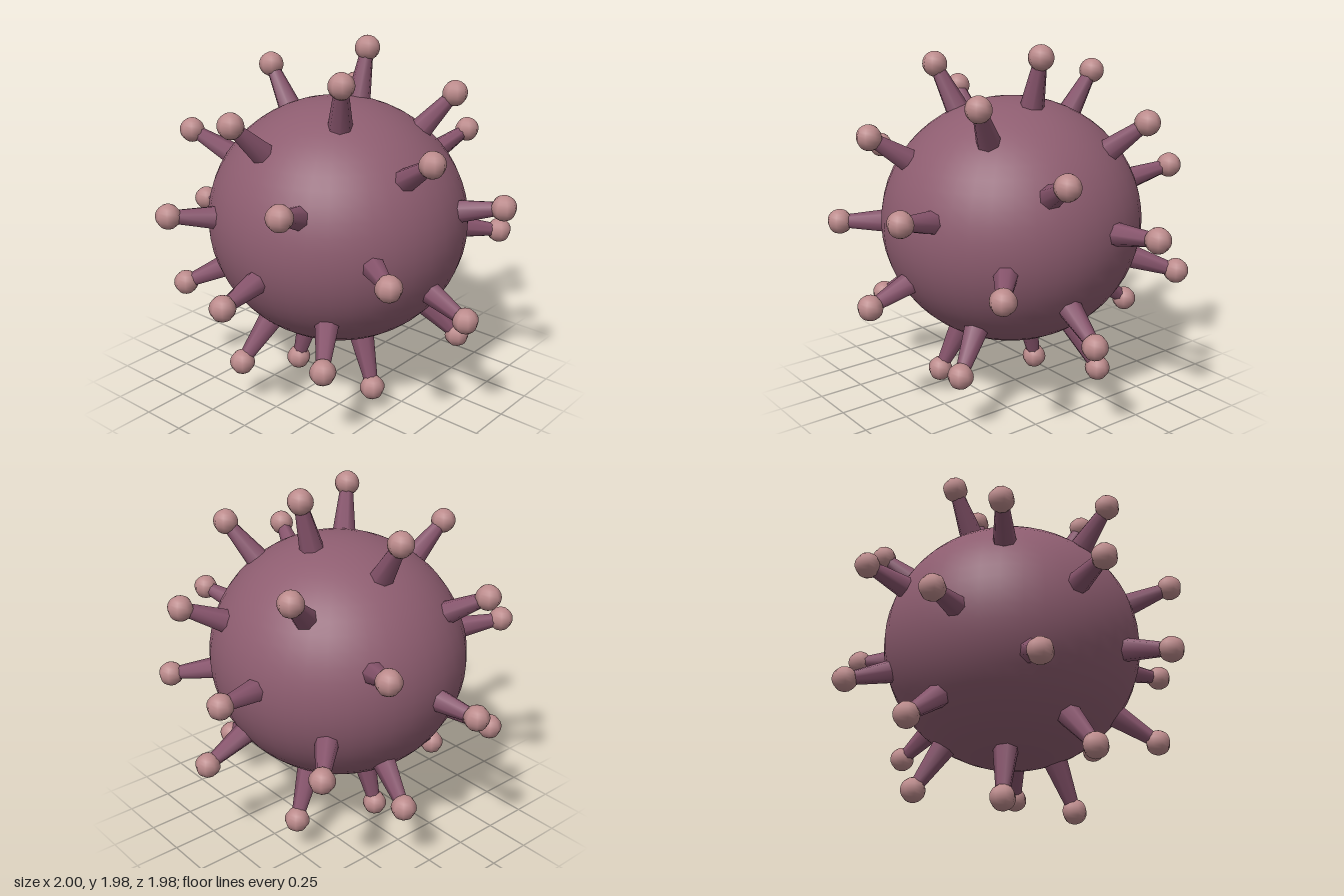
import * as THREE from 'three';

const mat = (name, color) => {
  const m = new THREE.MeshStandardMaterial({ color });
  m.name = name;
  return m;
};

export function createModel() {
  const bodyMat = mat('mauve body', 0x8e5d70);
  const spikeMat = mat('plum spike', 0x87546c);
  const tipMat = mat('dusty pink tip', 0xbb8a8b);

  const model = new THREE.Group();
  model.name = 'spikyBall';
  const core = new THREE.Group();
  core.name = 'core';
  core.position.set(0.0015, 0.99, 0.025);
  model.add(core);

  // Slightly squashed round body
  const body = new THREE.Mesh(new THREE.SphereGeometry(1, 40, 28), bodyMat);
  body.name = 'body';
  body.scale.set(0.71, 0.678, 0.728);
  body.position.y = 0.01;
  core.add(body);

  // Tapered stalks with knobs, spread evenly in a golden-angle spiral
  const count = 29, reach = 0.954, start = 0.62, tipRadius = 0.069;
  const golden = Math.PI * (3 - Math.sqrt(5));
  const stalkGeo = new THREE.CylinderGeometry(0.034, 0.074, reach - start, 7);
  const tipGeo = new THREE.SphereGeometry(tipRadius, 8, 12);
  const up = new THREE.Vector3(0, 1, 0);

  for (let i = 0; i < count; i++) {
    const y = 1 - (2 * i + 1) / count;
    const r = Math.sqrt(1 - y * y);
    const dir = new THREE.Vector3(r * Math.cos(i * golden), y, r * Math.sin(i * golden));

    const spike = new THREE.Group();
    spike.name = `spike${i + 1}`;

    const stalk = new THREE.Mesh(stalkGeo, spikeMat);
    stalk.name = 'stalk';
    stalk.position.copy(dir).multiplyScalar((start + reach) / 2);
    stalk.quaternion.setFromUnitVectors(up, dir);

    const tip = new THREE.Mesh(tipGeo, tipMat);
    tip.name = 'tip';
    tip.position.copy(dir).multiplyScalar(reach);

    spike.add(stalk, tip);
    core.add(spike);
  }
  return model;
}
